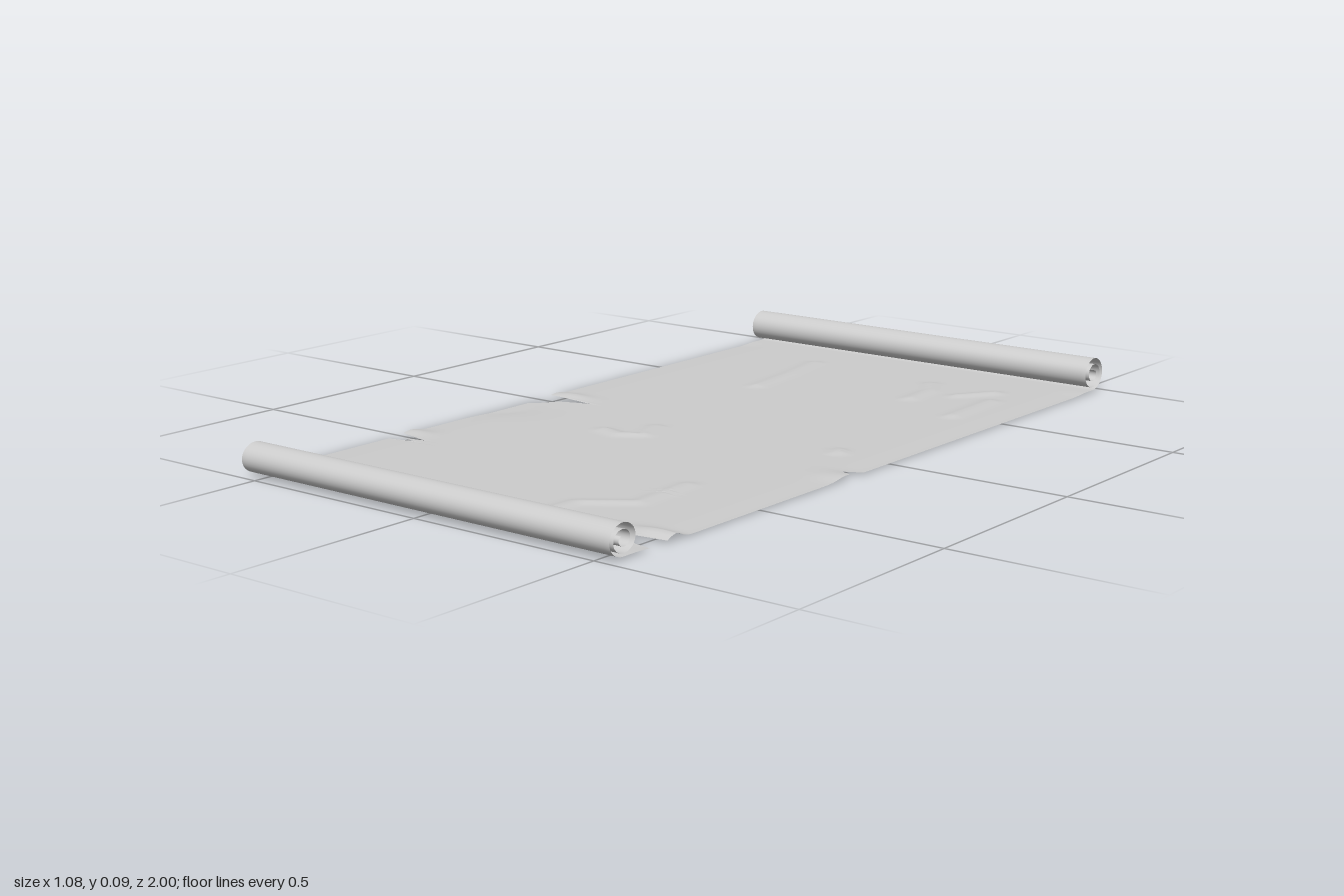
import * as THREE from 'three';

const HALF = 0.54, BASE = 0.006, COLS = 72;
const BACK = { z: -0.953, R: 0.0425, stretch: 1.1, dir: -1 };
const FRONT = { z: 0.957, R: 0.0355, stretch: 1.2, dir: 1 };

// Torn edges as [z, x] points
const leftTears = [
  [-0.04, -HALF], [-0.022, -0.39], [0, -0.48], [0.045, -HALF],
  [0.495, -HALF], [0.515, -0.45], [0.523, -0.51], [0.536, -0.46], [0.545, -HALF],
];
const rightTears = [
  [0.11, HALF], [0.145, 0.505], [0.165, HALF],
  [0.818, HALF], [0.836, 0.4], [0.852, 0.46], [0.87, 0.5], [0.874, HALF],
];

// Creases as polylines of [x, z]
const creases = [
  [[-0.23, -0.78], [-0.2, -0.62], [-0.18, -0.45]],
  [[0.17, -0.75], [0.21, -0.68], [0.22, -0.57]],
  [[0.36, -0.76], [0.3, -0.67]],
  [[0.4, -0.67], [0.41, -0.47]],
  [[-0.1, 0.07], [-0.07, 0.15], [-0.12, 0.185], [-0.18, 0.17]],
  [[0.3, 0.45], [0.31, 0.63], [0.2, 0.71], [0.19, 0.85]],
  [[0.39, -0.01], [0.4, 0.01]],
];

// Lifted or drooping flaps beside the tears: [x, z, width x, width z, height]
const flaps = [
  [-0.5, -0.06, 0.07, 0.025, 0.008], [-0.54, 0.1, 0.11, 0.1, -0.007],
  [-0.53, 0.47, 0.05, 0.03, 0.008], [0.54, 0.18, 0.06, 0.04, 0.008],
  [0.52, 0.79, 0.09, 0.025, 0.014],
];

function edgeAt(points, z, fallback) {
  for (let i = 0; i < points.length - 1; i++) {
    const [z0, x0] = points[i], [z1, x1] = points[i + 1];
    if (z >= z0 && z <= z1) return x0 + (x1 - x0) * (z - z0) / (z1 - z0);
  }
  return fallback;
}

function segmentDistance(x, z, [ax, az], [bx, bz]) {
  const dx = bx - ax, dz = bz - az;
  const t = THREE.MathUtils.clamp(((x - ax) * dx + (z - az) * dz) / (dx * dx + dz * dz), 0, 1);
  return Math.hypot(x - ax - t * dx, z - az - t * dz);
}

function sheetHeight(x, z) {
  let y = 0;
  for (const line of creases) {
    let d = 1;
    for (let i = 0; i < line.length - 1; i++) d = Math.min(d, segmentDistance(x, z, line[i], line[i + 1]));
    y += 0.006 * Math.exp(-((d / 0.018) ** 2));
  }
  for (const [fx, fz, wx, wz, h] of flaps) y += h * Math.exp(-(((x - fx) / wx) ** 2) - ((z - fz) / wz) ** 2);
  // Long edges droop a little; everything settles flat where the rolls begin
  y -= 0.003 * THREE.MathUtils.smoothstep(Math.abs(x), 0.46, HALF);
  return Math.max(y * (1 - THREE.MathUtils.smoothstep(Math.abs(z), 0.85, 0.92)), -BASE);
}

// Spiral cross-section, from the sheet inwards
function spiral({ z, R, stretch, dir }) {
  const points = [], turns = 2.4, steps = 84;
  for (let i = 0; i <= steps; i++) {
    const t = turns * i / steps, a = t * Math.PI * 2;
    const r = R * (1 - 0.74 * Math.max(0, (t - 0.5) / (turns - 0.5)));
    points.push({ z: z + dir * stretch * r * Math.sin(a), y: BASE + R - r * Math.cos(a) });
  }
  return points;
}

function gridGeometry(rows) {
  const positions = [], index = [];
  rows.forEach((row) => {
    for (let j = 0; j <= COLS; j++) {
      const x = row.left + (row.right - row.left) * j / COLS;
      positions.push(x, row.y + (row.flat ? sheetHeight(x, row.z) : 0), row.z);
    }
  });
  for (let i = 0; i < rows.length - 1; i++) {
    for (let j = 0; j < COLS; j++) {
      const a = i * (COLS + 1) + j, b = a + COLS + 1;
      index.push(a, b, a + 1, b, b + 1, a + 1);
    }
  }
  const geometry = new THREE.BufferGeometry();
  geometry.setAttribute('position', new THREE.Float32BufferAttribute(positions, 3));
  geometry.setIndex(index);
  geometry.computeVertexNormals();
  return geometry;
}

export function createModel() {
  const group = new THREE.Group();
  group.name = 'scroll';
  const material = new THREE.MeshStandardMaterial({ color: 0xcccccc, side: THREE.DoubleSide });
  const add = (name, rows) => {
    const mesh = new THREE.Mesh(gridGeometry(rows), material);
    mesh.name = name;
    group.add(mesh);
  };

  // Flat sheet, with extra rows exactly at the tear corners
  const zs = [...leftTears, ...rightTears].map((p) => p[0]);
  for (let i = 0; i <= 150; i++) zs.push(THREE.MathUtils.lerp(BACK.z, FRONT.z, i / 150));
  zs.sort((a, b) => a - b);
  add('sheet', zs.map((z) => ({
    z, y: BASE, flat: true,
    left: edgeAt(leftTears, z, -HALF), right: edgeAt(rightTears, z, HALF),
  })));

  // Rolled ends
  const rolled = (roll) => spiral(roll).map((p) => ({ ...p, left: -HALF, right: HALF }));
  add('backRoll', rolled(BACK).reverse());
  add('frontRoll', rolled(FRONT));
  return group;
}
